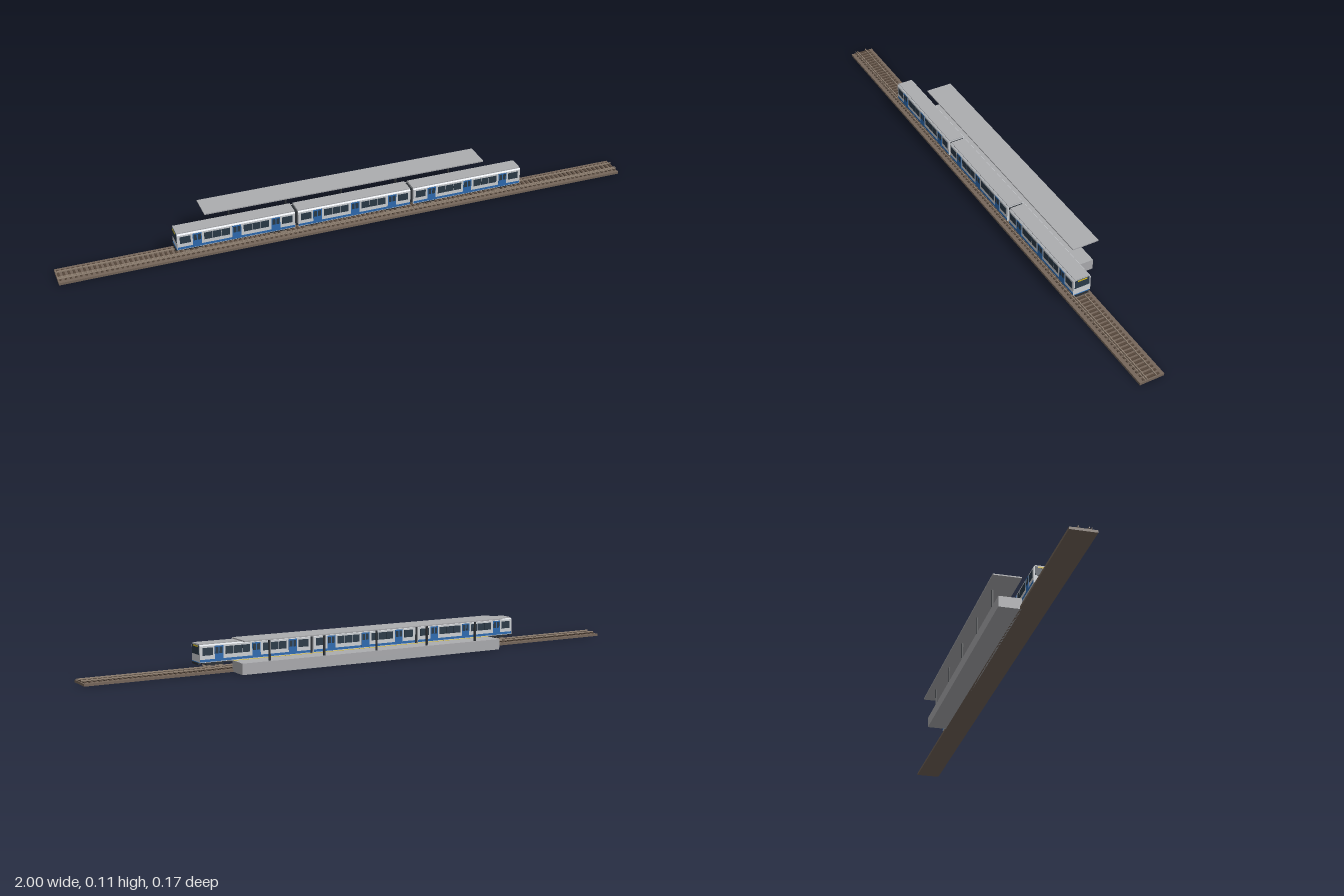
import * as THREE from 'three';

const mat = (name, color) => Object.assign(new THREE.MeshStandardMaterial({ color }), { name });

export function createModel() {
  const M = {
    silver: mat('silver', 0xd0d3d7),
    grey: mat('concrete grey', 0xacadb0),
    blue: mat('blue', 0x2e6db4),
    glass: mat('dark glass', 0x2b3b49),
    dark: mat('charcoal', 0x2c3035),
    yellow: mat('yellow', 0xdfc021),
    steel: mat('rail steel', 0x968677),
    ballast: mat('ballast', 0x75665a),
    sleeper: mat('sleeper brown', 0x57483c),
  };
  const root = new THREE.Group();
  root.name = 'trainAtStation';
  const TZ = 0.0435; // track centre line

  const group = (parent, name) => {
    const g = new THREE.Group();
    g.name = name;
    parent.add(g);
    return g;
  };
  const add = (parent, name, geo, material, x, y, z) => {
    const m = new THREE.Mesh(geo, material);
    m.name = name;
    m.position.set(x, y, z);
    parent.add(m);
    return m;
  };
  // box given by x centre and length, then y and z ranges
  const box = (parent, name, material, x, w, y0, y1, z0, z1) =>
    add(parent, name, new THREE.BoxGeometry(w, y1 - y0, z1 - z0), material, x, (y0 + y1) / 2, (z0 + z1) / 2);

  // Track
  const track = group(root, 'track');
  box(track, 'ballastBed', M.ballast, 0, 2, 0, 0.008, 0, 0.085);
  const N = 120;
  const sleepers = group(track, 'sleepers');
  for (let i = 0; i < N; i++) {
    box(sleepers, 'sleeper', M.sleeper, -1 + (i + 0.5) * 2 / N, 0.007, 0.008, 0.0115, 0.013, 0.072);
  }
  for (const s of [-1, 1]) {
    const z = TZ + s * 0.0163;
    box(track, 'rail', M.steel, 0, 2, 0.0115, 0.0155, z - 0.0013, z + 0.0013);
  }
  box(track, 'powerRail', M.steel, 0, 2, 0.0115, 0.0145, 0.066, 0.068);

  // Platform with canopy
  const platform = group(root, 'platform');
  box(platform, 'platformSlab', M.grey, 0, 1, 0, 0.037, -0.068, 0.007);
  box(platform, 'safetyLine', M.yellow, 0, 1, 0.037, 0.0376, -0.003, 0.002);
  box(platform, 'canopyRoof', M.grey, 0, 1, 0.108, 0.112, -0.085, 0.009);
  for (let i = -2; i <= 2; i++) {
    box(platform, 'canopyPost', M.dark, i * 0.2, 0.006, 0.037, 0.108, -0.0625, -0.0575);
  }

  // Carriage shell: cross-section with cut top corners, extruded along x
  const LEN = 0.4, HW = 0.031;
  const section = new THREE.Shape([
    [-HW, 0.036], [HW, 0.036], [HW, 0.09], [HW - 0.004, 0.094], [-HW + 0.004, 0.094], [-HW, 0.09],
  ].map(([a, b]) => new THREE.Vector2(a, b)));
  const shellGeo = new THREE.ExtrudeGeometry(section, { depth: LEN, bevelEnabled: false });
  shellGeo.translate(0, 0, -LEN / 2).rotateY(Math.PI / 2);
  const wheelGeo = new THREE.CylinderGeometry(0.0075, 0.0075, 0.003, 16).rotateX(Math.PI / 2);
  const axleGeo = new THREE.CylinderGeometry(0.0015, 0.0015, 0.033, 8).rotateX(Math.PI / 2);

  const side = (car, s) => {
    const g = group(car, s > 0 ? 'frontSide' : 'rearSide');
    // thin plate on the flank
    const plate = (name, m, x, w, y0, y1, out) =>
      box(g, name, m, x, w, y0, y1, s * HW - out, s * HW + out);
    plate('stripe', M.blue, 0, LEN - 0.002, 0.038, 0.046, 0.0005);
    for (const x of [-0.133, 0, 0.133]) {
      plate('door', M.blue, x, 0.03, 0.038, 0.088, 0.001);
      for (const d of [-1, 1]) plate('doorWindow', M.glass, x + d * 0.007, 0.01, 0.063, 0.084, 0.0014);
    }
    for (const x of [-0.0665, 0.0665]) {
      for (const d of [-1, 0, 1]) plate('window', M.glass, x + d * 0.0295, 0.0275, 0.059, 0.084, 0.001);
    }
    for (const x of [-0.173, 0.173]) plate('endWindow', M.glass, x, 0.036, 0.059, 0.084, 0.001);
  };

  const bogie = (car, x) => {
    const g = group(car, 'bogie');
    g.position.x = x;
    box(g, 'bogieFrame', M.dark, 0, 0.06, 0.025, 0.03, -0.02, 0.02);
    for (const dx of [-0.021, 0.021]) {
      add(g, 'axle', axleGeo, M.steel, dx, 0.023, 0);
      for (const s of [-1, 1]) add(g, 'wheel', wheelGeo, M.steel, dx, 0.023, s * 0.0163);
    }
  };

  // Cab end at x direction d
  const cab = (car, d) => {
    const g = group(car, 'cabEnd');
    const x = d * LEN / 2;
    box(g, 'windscreen', M.glass, x, 0.003, 0.062, 0.092, -0.026, 0.026);
    box(g, 'destinationSign', M.yellow, x, 0.0045, 0.087, 0.0915, -0.017, 0.017);
    box(g, 'bumper', M.dark, x, 0.008, 0.029, 0.036, -0.023, 0.023);
    box(g, 'bumperTrim', M.blue, x, 0.003, 0.036, 0.038, -0.028, 0.028);
  };

  // Train of three carriages
  const train = group(root, 'train');
  for (const i of [-1, 0, 1]) {
    const car = group(train, 'carriage');
    car.position.set(i * 0.411, 0, TZ);
    add(car, 'shell', shellGeo, M.silver, 0, 0, 0);
    box(car, 'roof', M.grey, 0, LEN, 0.094, 0.0965, -0.026, 0.026);
    box(car, 'underframe', M.dark, 0, 0.38, 0.031, 0.036, -0.025, 0.025);
    for (const s of [-1, 1]) {
      side(car, s);
      bogie(car, s * 0.143);
      if (s === i) cab(car, s);
    }
  }
  // Gangways between carriages
  for (const s of [-1, 1]) {
    box(train, 'gangway', M.dark, s * 0.2055, 0.012, 0.038, 0.09, TZ - 0.024, TZ + 0.024);
  }
  return root;
}
